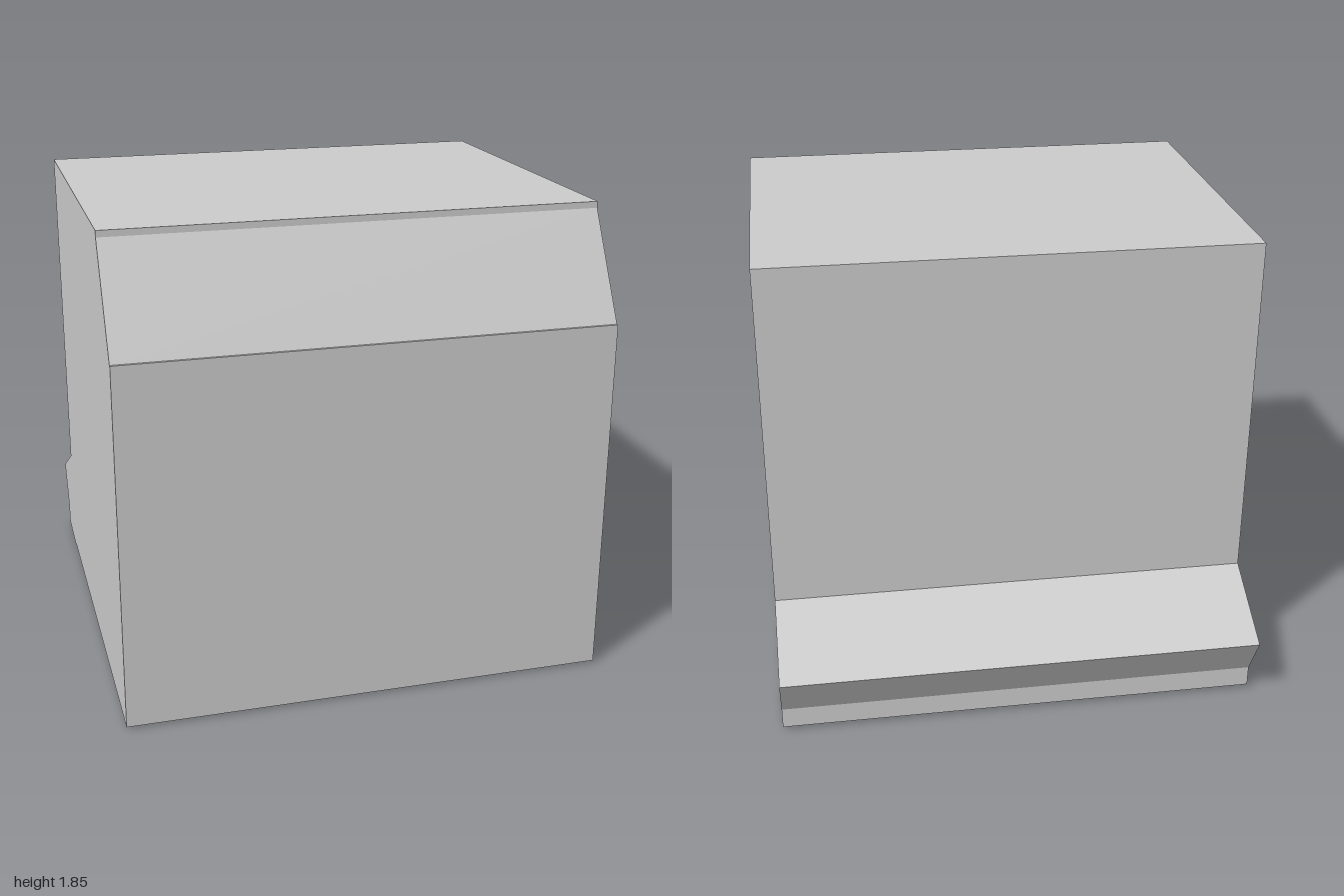
import * as THREE from 'three';

const WIDTH = 1.9;

// Side outline as [z, y] points, swept across the full width
const OUTLINE = [
  // underside and front face
  [-0.665, 0.01], [1, 0.01], [1, 1.43],
  // sloped upper front edge with a small lip at each end
  [0.99, 1.43], [0.765, 1.825], [0.765, 1.85],
  // top and back face
  [-0.665, 1.85], [-0.665, 0.455],
  // pointed ledge along the lower back
  [-1, 0.28], [-0.9, 0.1], [-0.9, 0.015], [-0.665, 0],
];

export function createModel() {
  const group = new THREE.Group();
  const shape = new THREE.Shape(OUTLINE.map(([z, y]) => new THREE.Vector2(z, y)));
  const geometry = new THREE.ExtrudeGeometry(shape, { depth: WIDTH, bevelEnabled: false });
  // turn the outline into the z-y plane and centre it on x
  geometry.rotateY(-Math.PI / 2).translate(WIDTH / 2, 0, 0);

  const body = new THREE.Mesh(
    geometry,
    new THREE.MeshStandardMaterial({ color: 0xcccccc, flatShading: true })
  );
  body.name = 'bodyWithBackLedge';
  group.add(body);
  return group;
}
